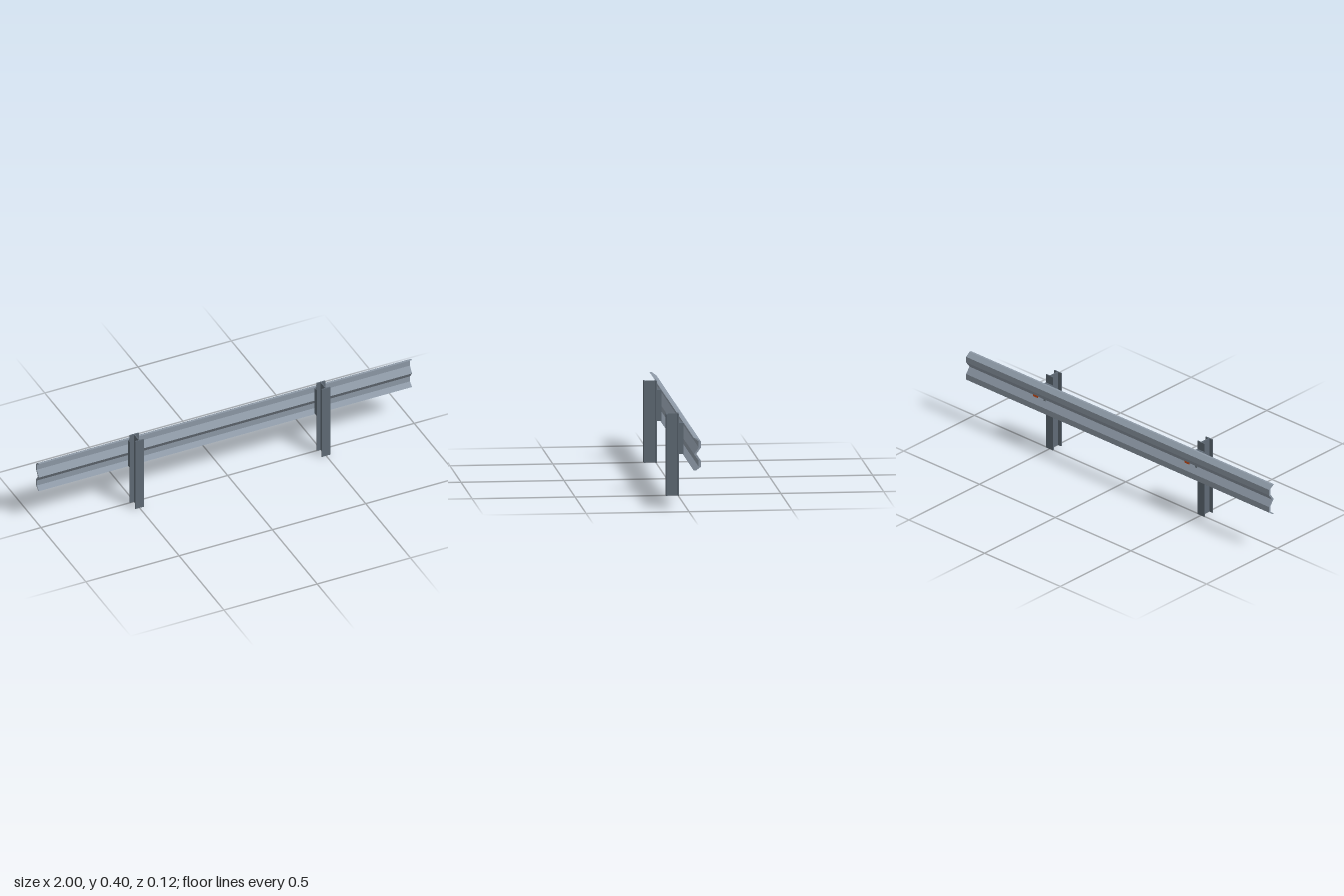
import * as THREE from 'three';

const material = (name, color) => {
  const m = new THREE.MeshStandardMaterial({ color });
  m.name = name;
  return m;
};

export function createModel() {
  const railSteel = material('galvanised rail steel', 0x8d99a6);
  const postSteel = material('dark post steel', 0x5f6a75);
  const boltSteel = material('bolt steel', 0x77828c);
  const orange = material('reflector orange', 0xd2521e);

  const model = new THREE.Group();
  model.name = 'guardrail';

  const add = (parent, name, geometry, mat, x, y, z) => {
    const mesh = new THREE.Mesh(geometry, mat);
    mesh.name = name;
    mesh.position.set(x, y, z);
    parent.add(mesh);
    return mesh;
  };

  // W-shaped rail: [distance behind centre, height], thickened along depth
  const midY = 0.281, thickness = 0.011;
  const upper = [[0.035, 0], [0.058, 0.032], [0.058, 0.062], [0.034, 0.08]];
  const outer = [
    ...upper.slice(1).reverse().map(([d, h]) => [d, midY - h]),
    ...upper.map(([d, h]) => [d, midY + h]),
  ];
  const inner = outer.map(([d, y]) => [d - thickness, y]).reverse();
  const profile = new THREE.Shape([...outer, ...inner].map(([d, y]) => new THREE.Vector2(d, y)));
  const railGeometry = new THREE.ExtrudeGeometry(profile, { depth: 2, bevelEnabled: false });
  railGeometry.rotateY(Math.PI / 2);
  add(model, 'rail', railGeometry, railSteel, -1, 0, 0);

  // I-section outline shared by both posts, drawn in plan
  const w = 0.023, t = 0.003, front = 0.059, back = -0.004, flange = 0.006;
  const section = new THREE.Shape([
    [-w, back], [w, back], [w, back + flange], [t, back + flange],
    [t, front - flange], [w, front - flange], [w, front], [-w, front],
    [-w, front - flange], [-t, front - flange], [-t, back + flange], [-w, back + flange],
  ].map(([x, z]) => new THREE.Vector2(x, -z)));
  const postGeometry = new THREE.ExtrudeGeometry(section, { depth: 0.4, bevelEnabled: false });
  postGeometry.rotateX(-Math.PI / 2);

  const blockGeometry = new THREE.BoxGeometry(0.046, 0.15, 0.021);
  const boltGeometry = new THREE.CylinderGeometry(0.008, 0.008, 0.008, 8).rotateX(Math.PI / 2);
  const reflectorGeometry = new THREE.BoxGeometry(0.032, 0.013, 0.007);

  for (const side of [-1, 1]) {
    const support = new THREE.Group();
    support.name = side > 0 ? 'leftSupport' : 'rightSupport';
    support.position.x = side * 0.5;
    add(support, 'post', postGeometry, postSteel, 0, 0, 0);
    add(support, 'spacerBlock', blockGeometry, postSteel, 0, midY, -0.0145);
    add(support, 'bolt', boltGeometry, boltSteel, 0, midY, -0.035);
    add(support, 'reflector', reflectorGeometry, orange, 0.06, midY - 0.001, -0.0355);
    model.add(support);
  }
  return model;
}
